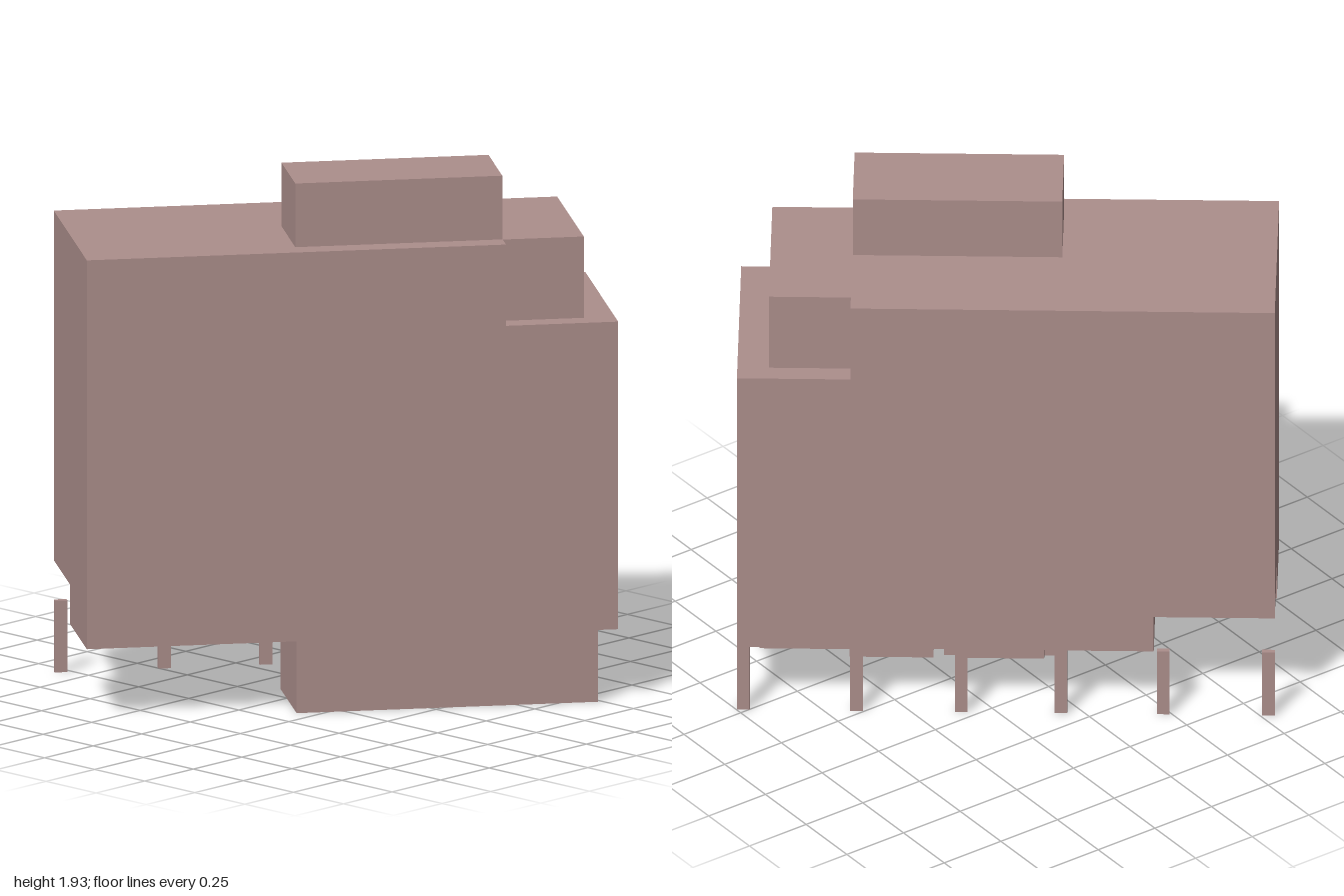
import * as THREE from 'three';

const material = new THREE.MeshStandardMaterial({ color: 0xad8f8c, flatShading: true });
const L = 0.964, W = 0.379; // half length and half width of the housing

// Prism with a plan outline of [x, z] points, standing between two heights
function prism(name, outline, y0, y1) {
  const shape = new THREE.Shape(outline.map(([x, z]) => new THREE.Vector2(x, z)));
  const geometry = new THREE.ExtrudeGeometry(shape, { depth: y1 - y0, bevelEnabled: false });
  geometry.rotateX(Math.PI / 2).translate(0, y1, 0);
  const mesh = new THREE.Mesh(geometry, material);
  mesh.name = name;
  return mesh;
}

const rect = (x0, x1, z0, z1) => [[x0, z0], [x1, z0], [x1, z1], [x0, z1]];

export function createModel() {
  const model = new THREE.Group();
  model.name = 'switchModule';

  // Housing: notched bottom layer, full middle, narrowed tongue at one top end
  const housing = new THREE.Group();
  housing.name = 'housing';
  housing.add(
    prism('housingBottom', [[-L, -0.012], [-0.53, -0.012], [-0.53, -W], [L, -W], [L, W], [-L, W]], 0.265, 0.41),
    prism('housingMiddle', rect(-L, L, -W, W), 0.41, 1.4),
    prism('housingTop', [
      [-L, -W], [0.557, -W], [0.557, -0.305], [0.851, -0.305],
      [0.851, 0.303], [0.557, 0.303], [0.557, W], [-L, W],
    ], 1.4, 1.7),
  );
  model.add(housing);

  // Raised button on the top
  model.add(prism('button', rect(-0.195, 0.556, -0.017, 0.3), 1.7, 1.935));

  // Lower block with a stepped, slotted back
  model.add(prism('lowerBlock', [
    [-0.203, W], [-0.203, 0.01], [-0.13, 0.01], [-0.13, -0.012], [0.165, -0.012],
    [0.165, 0.005], [0.23, 0.005], [0.23, 0.09], [0.267, 0.09], [0.267, -0.012],
    [0.567, -0.012], [0.567, 0.038], [0.891, 0.038], [0.891, W],
  ], 0, 0.265));

  // Row of flat contact pins along the back
  const pins = new THREE.Group();
  pins.name = 'contactPins';
  for (const x of [-0.941, -0.564, -0.197, 0.16, 0.535, 0.941]) {
    pins.add(prism('pin', rect(x - 0.023, x + 0.023, -W, -W + 0.02), 0, 0.265));
  }
  model.add(pins);

  // The whole module stands turned about the vertical
  model.rotation.y = -Math.atan2(0.6, 0.8);
  const root = new THREE.Group();
  root.add(model);
  return root;
}
